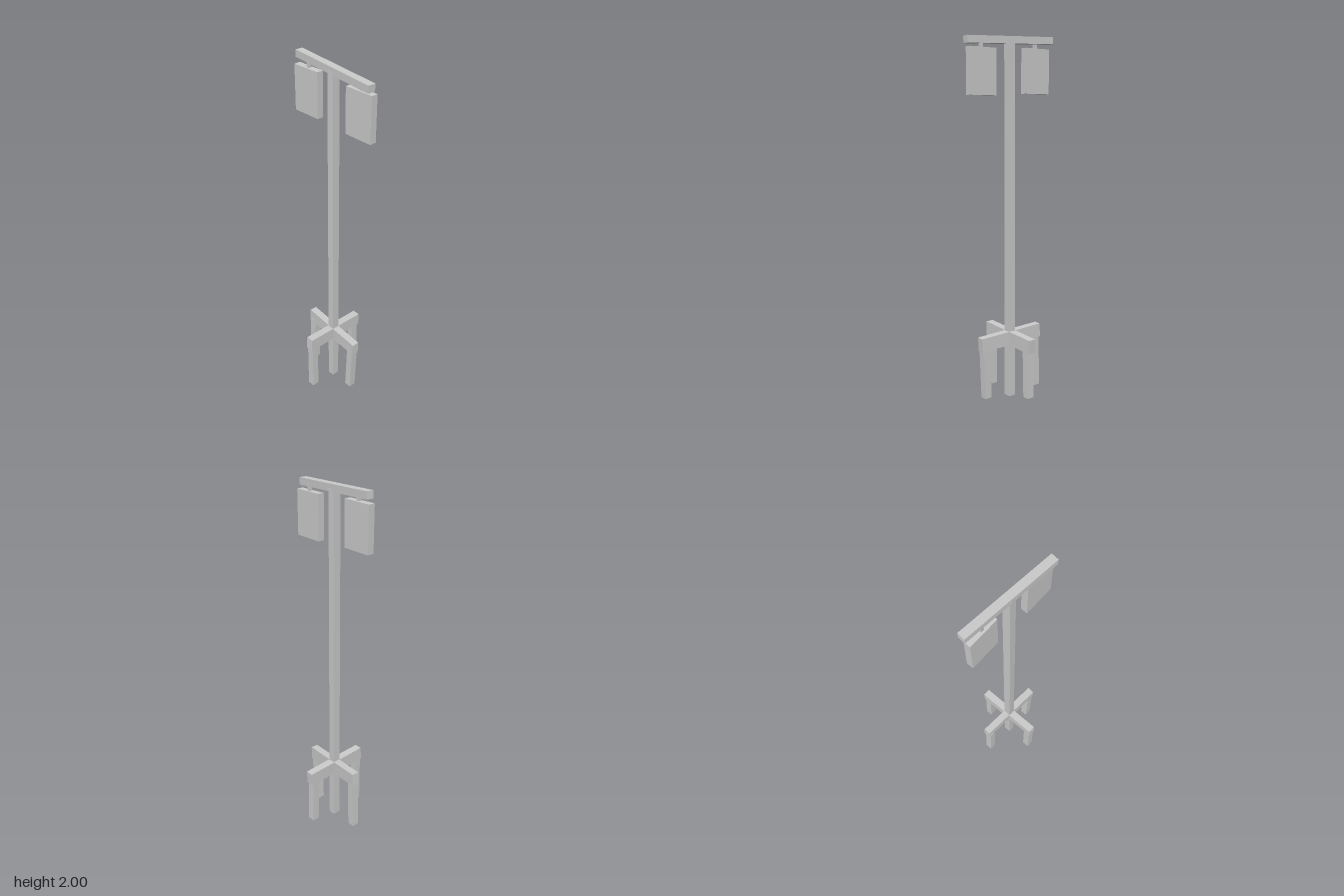
import * as THREE from 'three';

const material = new THREE.MeshStandardMaterial({ color: 0xcccccc, flatShading: true });

// Box with size, centre and rotation; the yaw is applied outside the tilt.
function box(parent, name, size, position, rotation = [0, 0, 0]) {
  const mesh = new THREE.Mesh(new THREE.BoxGeometry(...size), material);
  mesh.name = name;
  mesh.position.set(...position);
  mesh.rotation.set(...rotation, 'YXZ');
  parent.add(mesh);
  return mesh;
}

export function createModel() {
  const model = new THREE.Group();
  model.name = 'signPost';

  // Upright post
  box(model, 'post', [0.044, 1.965, 0.039], [0, 0.9825, 0]);

  // Slightly crooked top arm
  box(model, 'topArm', [0.042, 0.038, 0.544], [0, 1.97, 0], [0.041, -0.077, 0]);

  // Hanging boards, each on a short hanger
  for (const [name, z, y] of [['front', 0.187, 1.802], ['back', -0.179, 1.814]]) {
    box(model, name + 'Board', [0.037, 0.242, 0.168], [0, y, z]);
    box(model, name + 'Hanger', [0.016, 0.05, 0.016], [0, y + 0.136, z + 0.004]);
  }

  // Crossed braces of the base, each tilted a little
  const base = new THREE.Group();
  base.name = 'base';
  model.add(base);
  box(base, 'sideBrace', [0.383, 0.077, 0.044], [0, 0.343, -0.001], [0, 0, -0.047]);
  box(base, 'lengthBrace', [0.042, 0.077, 0.396], [0.001, 0.342, 0], [0.047, -0.058, 0]);

  // Four uneven legs: centre at mid height, foot height, lean about x and z
  const legs = [
    ['rightLeg', -0.166, -0.001, 0.022, 0, 0],
    ['leftLeg', 0.161, -0.001, 0.038, 0, 0.026],
    ['frontLeg', -0.01, 0.164, 0.022, 0.042, 0],
    ['backLeg', 0.008, -0.174, 0.022, 0.03, 0],
  ];
  for (const [name, x, z, foot, leanX, leanZ] of legs) {
    const height = 0.33 - foot;
    box(base, name, [0.041, height, 0.041], [x, foot + height / 2, z], [leanX, 0, leanZ]);
  }

  return model;
}
